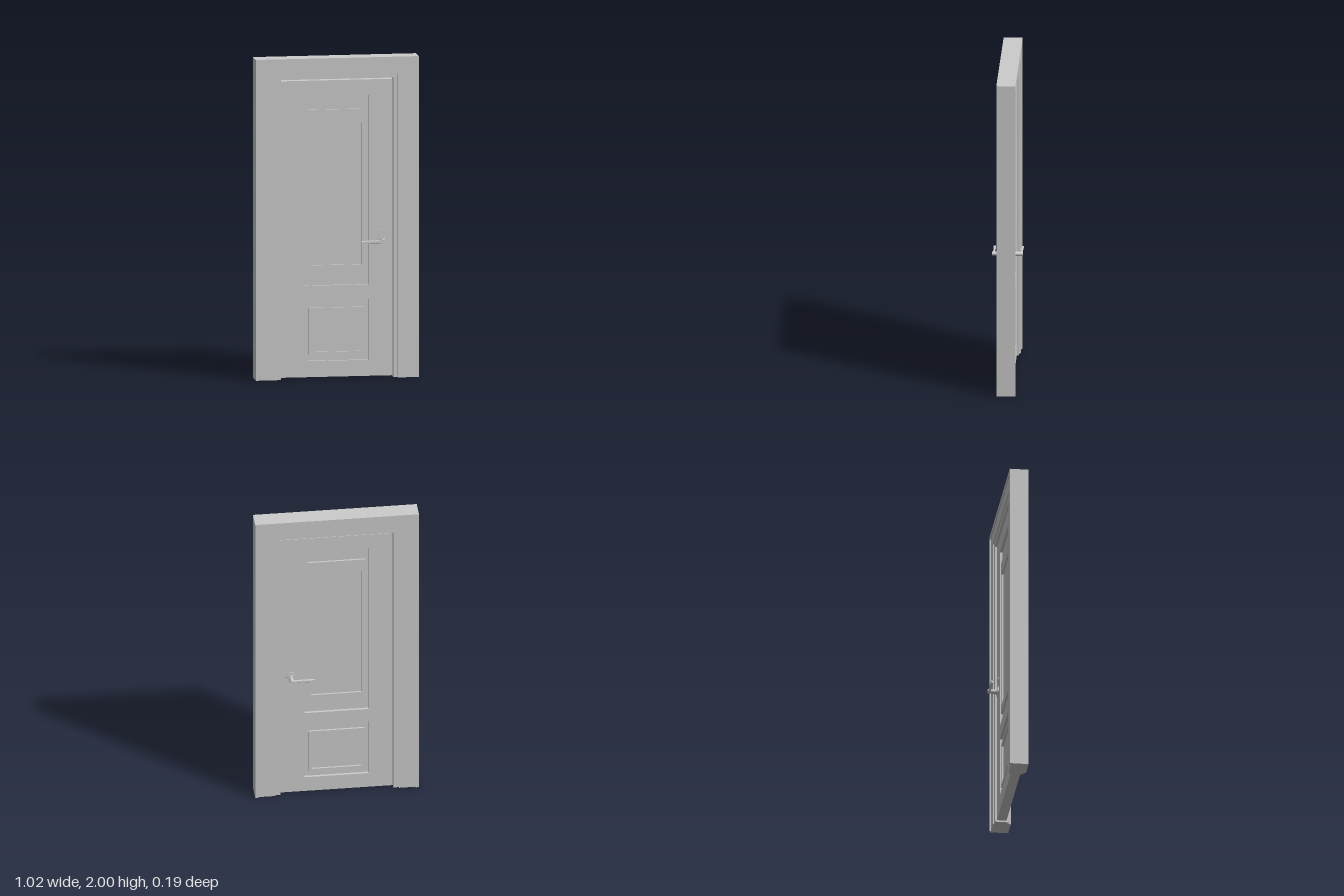
import * as THREE from 'three';

const grey = new THREE.MeshStandardMaterial({ color: 0xcccccc });

function add(parent, name, geometry, x = 0, y = 0, z = 0) {
  const mesh = new THREE.Mesh(geometry, grey);
  mesh.name = name;
  mesh.position.set(x, y, z);
  parent.add(mesh);
  return mesh;
}

// Flat outline extruded between two z values
function slab(shape, z0, z1) {
  const g = new THREE.ExtrudeGeometry(shape, { depth: z1 - z0, bevelEnabled: false });
  return g.translate(0, 0, z0);
}

// Symmetric rectangle [half width, bottom, top]
function rect(Type, [w, y0, y1]) {
  return new Type([[-w, y0], [w, y0], [w, y1], [-w, y1]].map(([x, y]) => new THREE.Vector2(x, y)));
}

function rectWithHoles(outer, ...holes) {
  const s = rect(THREE.Shape, outer);
  s.holes = holes.map(h => rect(THREE.Path, h));
  return s;
}

// Door surround: two legs and a header, open at the floor
function surround(innerX, innerTop) {
  const X = 0.508;
  const p = [[-X, 0], [-innerX, 0], [-innerX, innerTop], [innerX, innerTop], [innerX, 0], [X, 0], [X, 2], [-X, 2]];
  return new THREE.Shape(p.map(([x, y]) => new THREE.Vector2(x, y)));
}

function createFrame() {
  const frame = new THREE.Group();
  frame.name = 'doorFrame';
  add(frame, 'jamb', slab(surround(0.35, 1.868), -0.042, 0.045));
  add(frame, 'frontCasing', slab(surround(0.376, 1.895), 0.045, 0.06));
  add(frame, 'backCasing', slab(surround(0.385, 1.9), -0.05, -0.042));
  add(frame, 'backCasingRim', slab(surround(0.487, 1.979), -0.057, -0.05));
  return frame;
}

function createLeaf() {
  const leaf = new THREE.Group();
  leaf.name = 'doorLeaf';
  // Recess, raised moulding and sunken centre for each panel
  const panels = [
    { name: 'upperPanel', recess: [0.2, 0.58, 1.76], raised: [0.18, 0.655, 1.675], centre: [0.157, 0.705, 1.59] },
    { name: 'lowerPanel', recess: [0.2, 0.11, 0.49], raised: [0.175, 0.15, 0.44], centre: [0.153, 0.165, 0.42] },
  ];
  add(leaf, 'stilesAndRails', slab(rectWithHoles([0.348, 0.01, 1.858], ...panels.map(p => p.recess)), -0.03, 0.03));
  for (const p of panels) {
    add(leaf, p.name + 'Field', slab(rect(THREE.Shape, p.recess), -0.013, 0.013));
    for (const [z0, z1] of [[0.013, 0.025], [-0.025, -0.013]]) {
      add(leaf, p.name + 'Moulding', slab(rectWithHoles(p.raised, p.centre), z0, z1));
    }
  }
  add(leaf, 'latchPlate', new THREE.BoxGeometry(0.004, 0.08, 0.03), 0.3475, 0.86, 0);
  return leaf;
}

// Disc or rod along z, from z0 to z1
function rod(radius, z0, z1) {
  return new THREE.CylinderGeometry(radius, radius, z1 - z0, 32)
    .rotateX(Math.PI / 2).translate(0, 0, (z0 + z1) / 2);
}

function createHandle() {
  const handle = new THREE.Group();
  handle.name = 'handle';
  const x = 0.285, y = 0.852;
  add(handle, 'rosette', rod(0.034, 0.029, 0.036), x, y);
  add(handle, 'collar', rod(0.02, 0.036, 0.044), x, y);
  add(handle, 'spindle', rod(0.0135, 0.03, 0.095), x, y);
  add(handle, 'lockCover', rod(0.018, 0.029, 0.033), x, 0.935);

  // Lever waisted in plan, rounded at the tip
  const s = new THREE.Shape();
  s.moveTo(0, 0.079);
  s.lineTo(-0.14, 0.078);
  s.quadraticCurveTo(-0.147, 0.086, -0.14, 0.094);
  s.quadraticCurveTo(-0.06, 0.088, 0, 0.094);
  const lever = new THREE.ExtrudeGeometry(s, {
    depth: 0.01, bevelThickness: 0.003, bevelSize: 0.002, bevelOffset: -0.002, bevelSegments: 3, curveSegments: 10,
  });
  lever.rotateX(Math.PI / 2).translate(0, 0.005, 0);
  add(handle, 'lever', lever, x, y);
  return handle;
}

export function createModel() {
  const model = new THREE.Group();
  model.name = 'panelDoor';
  model.add(createFrame(), createLeaf());
  const front = createHandle();
  front.name = 'frontHandle';
  // Back handle is mirrored through the leaf
  const back = createHandle();
  back.name = 'backHandle';
  back.scale.z = -1;
  model.add(front, back);
  return model;
}
